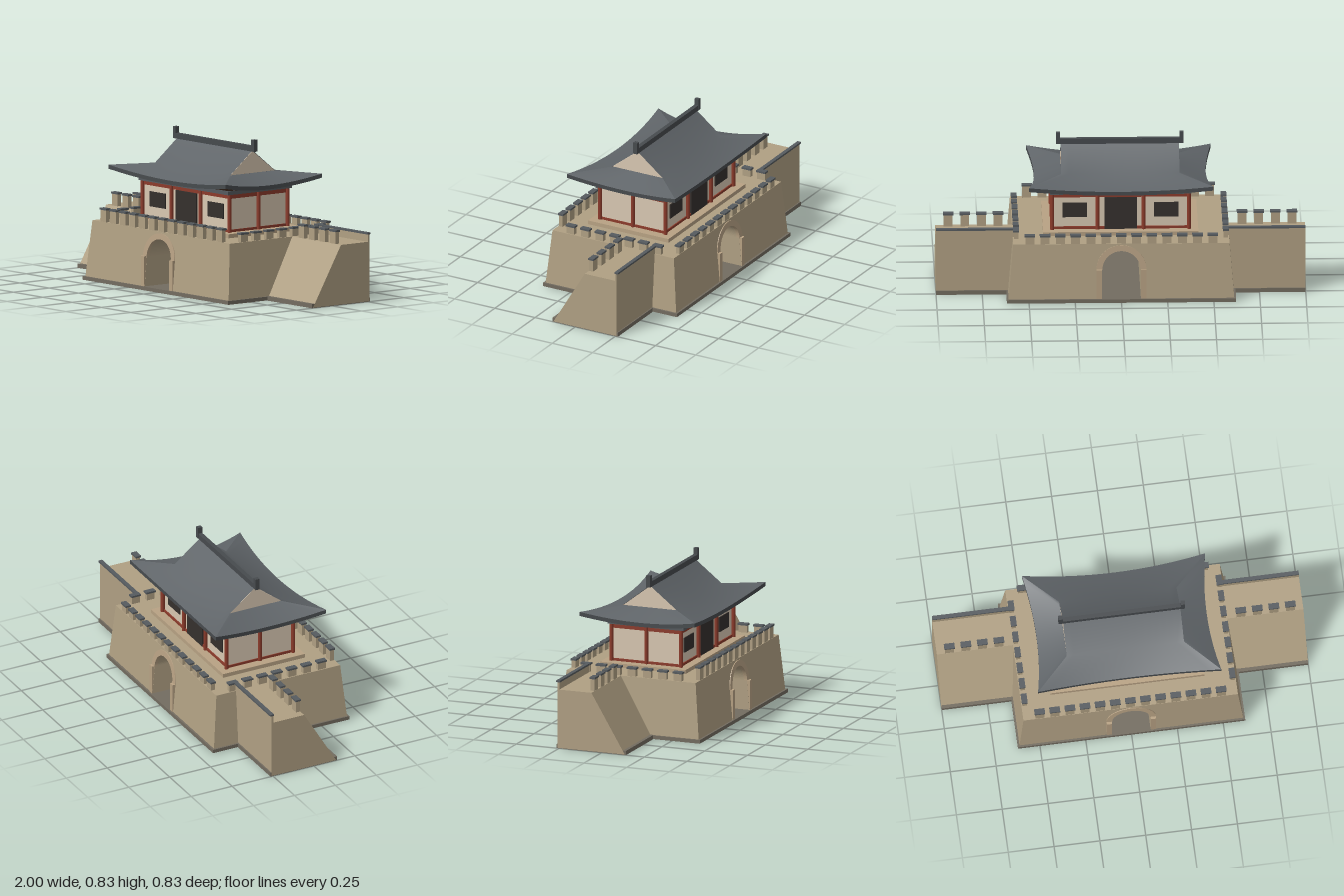
import * as THREE from 'three';

const mat = (color) => new THREE.MeshStandardMaterial({ color, side: THREE.DoubleSide });
const flat = (color) => new THREE.MeshStandardMaterial({ color, side: THREE.DoubleSide, flatShading: true });
const M = {
  wall: flat(0xb0a083), stone: flat(0x736c60), trim: flat(0xb8a284), cap: flat(0x565b5f),
  tile: mat(0x5f6468), ridge: flat(0x474b4e), red: flat(0x8c3b2b), redRound: mat(0x8c3b2b),
  plaster: flat(0xd8c8b2), dark: flat(0x35302d), soffit: flat(0x4f382a),
};

function add(parent, name, geometry, material) {
  const mesh = new THREE.Mesh(geometry, material);
  mesh.name = name;
  parent.add(mesh);
  return mesh;
}

// Box given by its limits on each axis
function box(parent, name, material, x0, x1, y0, y1, z0, z1) {
  const mesh = add(parent, name, new THREE.BoxGeometry(x1 - x0, y1 - y0, z1 - z0), material);
  mesh.position.set((x0 + x1) / 2, (y0 + y1) / 2, (z0 + z1) / 2);
  return mesh;
}

function shapeOf(points) {
  return new THREE.Shape(points.map(([x, y]) => new THREE.Vector2(x, y)));
}

// Surface lofted through rows; each row maps u in [-1, 1] to a point
function loft(rows, segments = 16) {
  const pos = [], index = [], n = segments + 1;
  rows.forEach((row) => {
    for (let i = 0; i < n; i++) pos.push(...row((2 * i) / segments - 1));
  });
  for (let r = 0; r < rows.length - 1; r++) {
    for (let i = 0; i < segments; i++) {
      const a = r * n + i, b = a + n;
      index.push(a, b, a + 1, a + 1, b, b + 1);
    }
  }
  const g = new THREE.BufferGeometry();
  g.setAttribute('position', new THREE.Float32BufferAttribute(pos, 3));
  g.setIndex(index);
  g.computeVertexNormals();
  return g;
}

const DECK = 0.328;
const taper = (y) => 1 - 0.0735 * (y / DECK);

// Capped merlon; rotated a quarter turn for side rows
function merlon(parent, x, z, top, turned) {
  const g = new THREE.Group();
  g.name = 'merlon';
  box(g, 'merlonBody', M.wall, -0.024, 0.024, DECK - 0.005, top - 0.01, -0.012, 0.012);
  box(g, 'merlonCap', M.cap, -0.0285, 0.0285, top - 0.01, top, -0.016, 0.016);
  g.position.set(x, 0, z);
  if (turned) g.rotation.y = Math.PI / 2;
  parent.add(g);
}

function buildGateBase() {
  const g = new THREE.Group();
  g.name = 'gateBase';
  box(g, 'plinth', M.stone, -0.62, 0.62, 0.002, 0.022, -0.417, 0.417);

  // Battered block with an arched passage cut through it
  const s = shapeOf([[-0.612, 0], [-0.105, 0], [-0.105, 0.185]]);
  s.absarc(0, 0.185, 0.105, Math.PI, 0, true);
  [[0.105, 0], [0.612, 0], [0.585, DECK], [-0.585, DECK]].forEach(([x, y]) => s.lineTo(x, y));
  const body = new THREE.ExtrudeGeometry(s, { depth: 0.816, bevelEnabled: false, curveSegments: 20 });
  body.translate(0, 0, -0.408);
  const p = body.attributes.position;
  for (let i = 0; i < p.count; i++) p.setZ(i, p.getZ(i) * taper(p.getY(i)));
  body.computeVertexNormals();
  add(g, 'gateBlock', body, M.wall);

  // Arch ring leaning with the wall, and square jambs
  const ring = new THREE.Shape();
  ring.absarc(0, 0.185, 0.135, 0, Math.PI, false);
  ring.absarc(0, 0.185, 0.103, Math.PI, 0, true);
  for (const side of [1, -1]) {
    const arch = new THREE.ExtrudeGeometry(ring, { depth: 0.02, bevelEnabled: false, curveSegments: 20 });
    const a = arch.attributes.position;
    for (let i = 0; i < a.count; i++) {
      a.setZ(i, a.getZ(i) - 0.016 + 0.408 * taper(a.getY(i)));
    }
    arch.computeVertexNormals();
    add(g, 'archRing', arch, M.trim).rotation.y = side > 0 ? 0 : Math.PI;
    for (const m of [1, -1]) {
      const jamb = box(g, 'archJamb', M.trim, -0.014, 0.014, 0.022, 0.186, -0.015, 0.015);
      jamb.position.x = m * 0.12;
      jamb.position.z = side * 0.394;
    }
  }

  // Battlements: tall on the front, low on the other sides
  for (let i = -6; i <= 6; i++) {
    merlon(g, i * 0.0825, 0.364, 0.403, false);
    merlon(g, i * 0.0825, -0.364, 0.378, false);
  }
  for (let i = -3; i <= 3; i++) {
    for (const side of [1, -1]) merlon(g, side * 0.567, i * 0.09, 0.378, true);
  }
  return g;
}

// Flanking wall with a sloped front and an upright back
function buildWing(side) {
  const g = new THREE.Group();
  g.name = side > 0 ? 'leftWing' : 'rightWing';
  const profile = shapeOf([[-0.135, 0.003], [0.258, 0.003], [0.258, DECK], [0.06, DECK]]);
  const wall = new THREE.ExtrudeGeometry(profile, { depth: 0.44, bevelEnabled: false });
  wall.rotateY(Math.PI / 2);
  wall.translate(-0.22, 0, 0);
  add(g, 'wingWall', wall, M.wall).position.x = side * 0.78;
  const span = (x0, x1) => (side > 0 ? [x0, x1] : [-x1, -x0]);
  box(g, 'wingPlinth', M.stone, ...span(0.56, 0.999), 0, 0.023, -0.265, 0.142);
  box(g, 'rearParapet', M.wall, ...span(0.57, 1), DECK, 0.368, -0.258, -0.248);
  box(g, 'parapetCap', M.cap, ...span(0.57, 1), 0.368, 0.378, -0.266, -0.244);
  for (let i = 0; i < 4; i++) merlon(g, side * (0.66 + i * 0.09), -0.073, 0.403, false);
  return g;
}

function buildPavilion() {
  const g = new THREE.Group();
  g.name = 'pavilion';
  box(g, 'platform', M.trim, -0.42, 0.42, DECK - 0.005, 0.35, -0.25, 0.25);
  box(g, 'walls', M.plaster, -0.365, 0.365, 0.35, 0.56, -0.195, 0.195);
  for (const [name, y0, y1] of [['sill', 0.35, 0.364], ['lintel', 0.533, 0.556]]) {
    box(g, name, M.red, -0.37, 0.37, y0, y1, -0.202, 0.202);
  }
  box(g, 'eaveBeam', M.cap, -0.382, 0.382, 0.556, 0.577, -0.223, 0.223);

  // Round posts on the front, back and ends
  const post = new THREE.CylinderGeometry(0.011, 0.011, 0.207, 12);
  const spots = [[-0.37, 0], [0.37, 0]];
  for (const x of [-0.37, -0.125, 0.125, 0.37]) spots.push([x, 0.204], [x, -0.204]);
  spots.forEach(([x, z]) => add(g, 'post', post, M.redRound).position.set(x, 0.4535, z));

  // Doors and windows on both long faces
  for (const side of [1, -1]) {
    const z = side * 0.196;
    box(g, 'door', M.dark, -0.088, 0.088, 0.35, 0.532, z - 0.008, z + 0.008);
    for (const x of [-0.247, 0.247]) {
      box(g, 'window', M.dark, x - 0.066, x + 0.066, 0.418, 0.5, z - 0.005, z + 0.005);
    }
  }
  return g;
}

function buildRoof() {
  const g = new THREE.Group();
  g.name = 'roof';
  // Half lengths and outward reach of the eave, shoulder and soffit per face
  const longFace = { along: 0.5, mid: 0.305, out: 0.337, shA: 0.32, shO: 0.157, inA: 0.37, inO: 0.21, turns: [0, 2] };
  const endFace = { along: 0.337, mid: 0.465, out: 0.5, shA: 0.157, shO: 0.32, inA: 0.21, inO: 0.37, turns: [1, 3] };
  for (const f of [longFace, endFace]) {
    const eave = (drop) => (u) => [u * f.along, 0.6 + 0.037 * u * u - drop, f.mid + (f.out - f.mid) * u * u];
    const shoulder = (u) => [u * f.shA, 0.652, f.shO];
    const soffit = (u) => [u * f.inA, 0.576, f.inO];
    const rows = [shoulder, eave(0)];
    if (f === longFace) rows.unshift((u) => [u * f.shA, 0.775, 0]);
    for (const t of f.turns) {
      const face = new THREE.Group();
      face.name = 'roofFace';
      face.rotation.y = (t * Math.PI) / 2;
      add(face, 'tiles', loft(rows), M.tile);
      add(face, 'eaveEdge', loft([eave(0), eave(0.022)]), M.ridge);
      add(face, 'soffit', loft([eave(0.022), soffit]), M.soffit);
      g.add(face);
    }
  }

  // Plastered gable ends
  const gable = shapeOf([[-0.155, 0.652], [0.155, 0.652], [0, 0.772]]);
  const prism = new THREE.ExtrudeGeometry(gable, { depth: 0.638, bevelEnabled: false });
  prism.translate(0, 0, -0.319);
  prism.rotateY(Math.PI / 2);
  add(g, 'gables', prism, M.plaster);

  // Ridge beam with upright ends
  box(g, 'ridgeBeam', M.ridge, -0.345, 0.345, 0.77, 0.8, -0.012, 0.012);
  for (const s of [1, -1]) {
    box(g, 'ridgeEnd', M.ridge, -0.0115, 0.0115, 0.77, 0.835, -0.0125, 0.0125).position.x = s * 0.334;
  }
  return g;
}

export function createModel() {
  const model = new THREE.Group();
  model.name = 'gatehouse';
  model.add(buildGateBase(), buildWing(1), buildWing(-1), buildPavilion(), buildRoof());
  return model;
}
